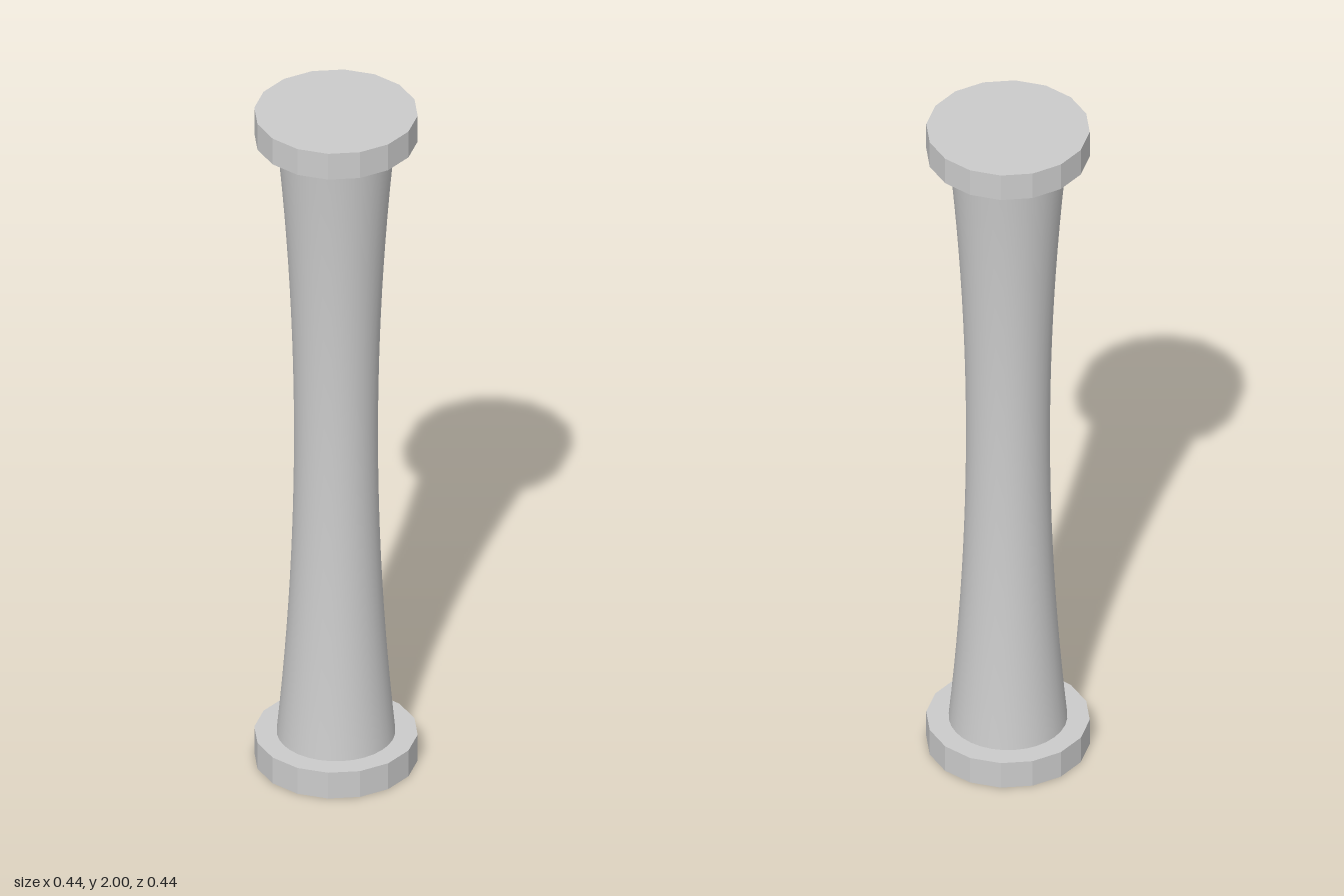
import * as THREE from 'three';

const HEIGHT = 2, CAP_H = 0.08, CAP_R = 0.218;
const WAIST_R = 0.112, END_R = 0.158;

export function createModel() {
  const group = new THREE.Group();
  group.name = 'column';
  const smooth = new THREE.MeshStandardMaterial({ color: 0xcccccc });
  const flat = new THREE.MeshStandardMaterial({ color: 0xcccccc, flatShading: true });

  // Waisted shaft: radius grows with the square of the distance from mid height
  const half = HEIGHT / 2 - CAP_H;
  const profile = [];
  for (let i = 0; i <= 24; i++) {
    const t = (i / 24) * 2 - 1;
    profile.push(new THREE.Vector2(WAIST_R + (END_R - WAIST_R) * t * t, HEIGHT / 2 + t * half));
  }
  const shaft = new THREE.Mesh(new THREE.LatheGeometry(profile, 32), smooth);
  shaft.name = 'shaft';
  group.add(shaft);

  // Sixteen-sided discs at both ends
  const discGeometry = new THREE.CylinderGeometry(CAP_R, CAP_R, CAP_H, 16);
  for (const [name, y] of [['base', CAP_H / 2], ['capital', HEIGHT - CAP_H / 2]]) {
    const disc = new THREE.Mesh(discGeometry, flat);
    disc.name = name;
    disc.position.y = y;
    group.add(disc);
  }
  return group;
}
